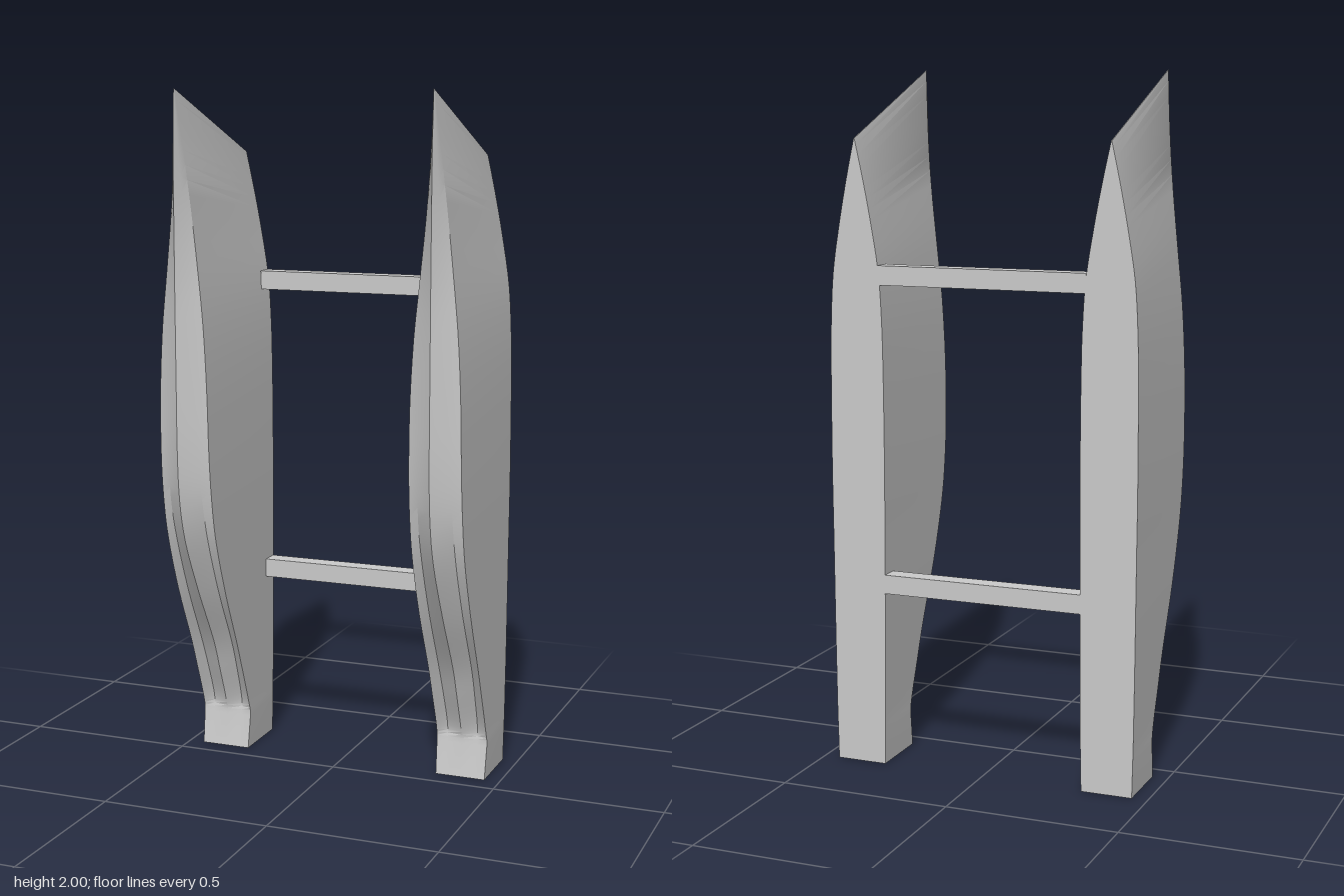
import * as THREE from 'three';
import { toCreasedNormals } from 'three/addons/utils/BufferGeometryUtils.js';

const BACK = -0.25;

// Hull stations from foot to tip:
// back y, front y, back half width, chine half width, hollow half width, chine z, hollow z, keel z
const STATIONS = [
  [0.00, 0.00, 0.075, 0.075, 0.045, -0.06, -0.06, -0.06],
  [0.10, 0.10, 0.077, 0.077, 0.046, -0.075, -0.075, -0.075],
  [0.15, 0.15, 0.078, 0.076, 0.046, -0.064, -0.08, -0.064],
  [0.25, 0.25, 0.079, 0.076, 0.048, -0.025, -0.045, -0.025],
  [0.36, 0.36, 0.080, 0.076, 0.050, 0.020, 0.002, 0.021],
  [0.53, 0.53, 0.081, 0.077, 0.050, 0.098, 0.088, 0.118],
  [0.70, 0.70, 0.082, 0.077, 0.050, 0.160, 0.158, 0.203],
  [0.83, 0.83, 0.083, 0.077, 0.050, 0.187, 0.194, 0.238],
  [0.97, 0.97, 0.083, 0.076, 0.046, 0.200, 0.212, 0.249],
  [1.15, 1.15, 0.082, 0.073, 0.041, 0.203, 0.220, 0.250],
  [1.30, 1.33, 0.079, 0.064, 0.034, 0.202, 0.224, 0.250],
  [1.44, 1.49, 0.070, 0.049, 0.025, 0.200, 0.224, 0.250],
  [1.58, 1.67, 0.048, 0.031, 0.016, 0.202, 0.226, 0.249],
  [1.70, 1.84, 0.025, 0.015, 0.008, 0.215, 0.233, 0.248],
  [1.81, 2.00, 0.001, 0.001, 0.0005, 0.238, 0.239, 0.24],
];

// Smooth interpolation of one column between stations
function sample(column, t) {
  const i = Math.min(Math.floor(t), STATIONS.length - 2);
  const f = t - i;
  const v = (k) => STATIONS[Math.max(0, Math.min(STATIONS.length - 1, k))][column];
  const m0 = (v(i + 1) - v(i - 1)) / 2;
  const m1 = (v(i + 2) - v(i)) / 2;
  const f2 = f * f, f3 = f2 * f;
  return (2 * f3 - 3 * f2 + 1) * v(i) + (f3 - 2 * f2 + f) * m0
    + (3 * f2 - 2 * f3) * v(i + 1) + (f3 - f2) * m1;
}

function hullGeometry() {
  const positions = [], index = [], n = 7;
  const levels = [0];
  for (let i = 1; i < STATIONS.length; i++) {
    // the foot block stays straight, everything above is subdivided
    if (i > 1) for (let k = 1; k < 4; k++) levels.push(i - 1 + k / 4);
    levels.push(i);
  }

  for (const t of levels) {
    const straight = t <= 1;
    const [yb, yf, wb, wc, wm, zc, zm, zk] = STATIONS[0].map((_, c) => (straight ? STATIONS[t][c] : sample(c, t)));
    const loop = [[-wb, BACK], [-wc, zc], [-wm, zm], [0, zk], [wm, zm], [wc, zc], [wb, BACK]];
    for (const [x, z] of loop) {
      positions.push(x, yb + (yf - yb) * (z - BACK) / (zk - BACK), z);
    }
  }

  for (let i = 0; i < levels.length - 1; i++) {
    for (let j = 0; j < n; j++) {
      const a = i * n + j, b = i * n + (j + 1) % n;
      index.push(a, b, b + n, a, b + n, a + n);
    }
  }

  // foot and tip caps, fanned from the keel
  const top = (levels.length - 1) * n;
  for (let k = 1; k < n - 1; k++) {
    const p = (3 + k) % n, q = (4 + k) % n;
    index.push(3, q, p, top + 3, top + p, top + q);
  }

  const geometry = new THREE.BufferGeometry();
  geometry.setAttribute('position', new THREE.Float32BufferAttribute(positions, 3));
  geometry.setIndex(index);
  return toCreasedNormals(geometry, 0.45);
}

export function createModel() {
  const model = new THREE.Group();
  model.name = 'twinFloats';
  const material = new THREE.MeshStandardMaterial({ color: 0xcccccc });

  // Two matching floats standing on their sterns
  const hull = hullGeometry();
  for (const side of [-1, 1]) {
    const float = new THREE.Mesh(hull, material);
    float.name = side > 0 ? 'leftFloat' : 'rightFloat';
    float.position.x = side * 0.379;
    model.add(float);
  }

  // Spreader bars flush with the flat decks
  const bar = new THREE.BoxGeometry(0.62, 0.055, 0.055);
  for (const [name, y] of [['lowerSpreader', 0.54], ['upperSpreader', 1.43]]) {
    const spreader = new THREE.Mesh(bar, material);
    spreader.name = name;
    spreader.position.set(0, y, BACK + 0.0275);
    model.add(spreader);
  }
  return model;
}
